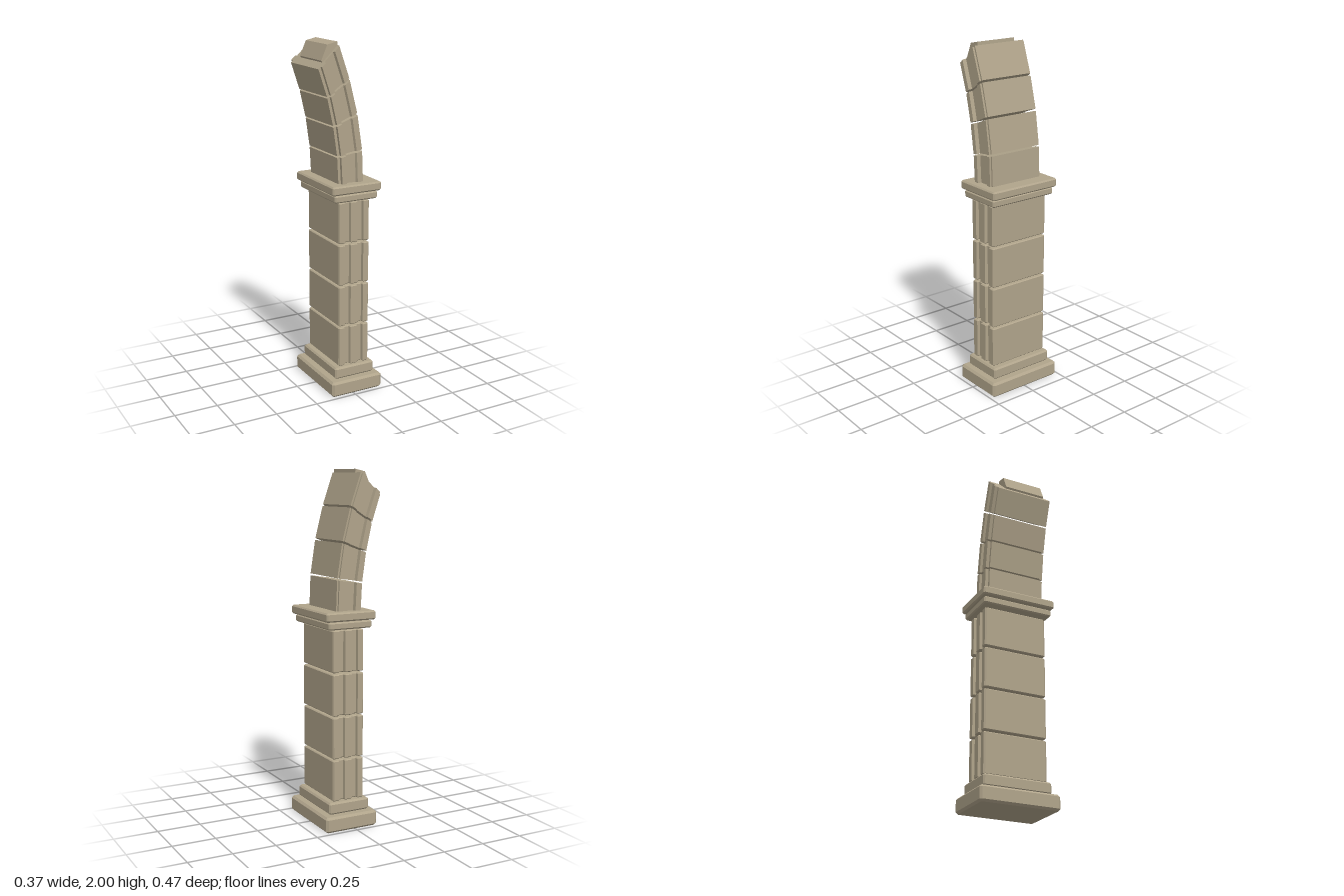
import * as THREE from 'three';

const CX = 0.022; // pillar axis

// Extrude a plan outline (x, z) upward from y0 to y1 with a chamfered rim
function upright(points, y0, y1, bevel) {
  const shape = new THREE.Shape(points.map(([x, z]) => new THREE.Vector2(x, z)));
  const geo = new THREE.ExtrudeGeometry(shape, {
    depth: y1 - y0 - 2 * bevel, bevelEnabled: true, bevelThickness: bevel,
    bevelSize: bevel, bevelOffset: -bevel, bevelSegments: 1,
  });
  return geo.rotateX(-Math.PI / 2).translate(CX, y0 + bevel, 0);
}

// Rectangle with cut corners
function cutRect(w, d, c) {
  return [[-w + c, -d], [w - c, -d], [w, -d + c], [w, d - c],
    [w - c, d], [-w + c, d], [-w, d - c], [-w, -d + c]];
}

// Mirror a front edge, listed from +x to -x, to close a symmetric section
function mirrored(front) {
  return [...front, ...front.map(([x, z]) => [x, -z]).reverse()];
}

export function createModel() {
  const group = new THREE.Group();
  const stone = new THREE.MeshStandardMaterial({ color: 0xb0a48b });
  stone.name = 'sandstone';
  const add = (name, geo) => {
    const mesh = new THREE.Mesh(geo, stone);
    mesh.name = name;
    group.add(mesh);
  };

  // Plinth and capital slabs: half width, half depth, bottom, top, bevel
  const slabs = [
    ['plinthLower', 0.161, 0.234, 0, 0.089, 0.012],
    ['plinthUpper', 0.125, 0.2, 0.093, 0.16, 0.009],
    ['capitalLower', 0.133, 0.21, 1.139, 1.18, 0.007],
    ['capitalUpper', 0.152, 0.222, 1.184, 1.234, 0.008],
  ];
  for (const [name, w, d, y0, y1, b] of slabs) {
    add(name, upright(cutRect(w, d, b), y0, y1, b));
  }

  // Fluted shaft blocks
  const f = 0.187, g = 0.17;
  const fluted = mirrored([
    [0.096, 0.178], [0.09, f], [0.058, f], [0.055, g], [0.025, g], [0.021, f],
    [-0.021, f], [-0.025, g], [-0.055, g], [-0.058, f], [-0.09, f], [-0.096, 0.178],
  ]);
  for (let i = 0; i < 4; i++) {
    const y0 = 0.164 + i * 0.2442;
    add('shaftBlock' + (i + 1), upright(fluted, y0, y0 + 0.234, 0.005));
  }

  // Arch stones: a moulded section (thickness t from inner to outer, depth z)
  // stretched between successive joints
  const section = mirrored([
    [1, 0.163], [0.94, 0.163], [0.94, 0.174], [0.75, 0.174], [0.71, 0.161],
    [0.31, 0.161], [0.28, 0.182], [0.1, 0.182], [0.1, 0.163], [0, 0.163],
  ]);
  const sectionShape = new THREE.Shape(section.map(([t, z]) => new THREE.Vector2(t, z)));
  const joints = [ // inner x, y, outer x, y
    [-0.066, 1.234, 0.088, 1.234],
    [-0.074, 1.385, 0.081, 1.409],
    [-0.098, 1.553, 0.05, 1.61],
    [-0.134, 1.711, 0.001, 1.8],
    [-0.185, 1.864, -0.062, 1.981],
  ];
  for (let i = 0; i < 4; i++) {
    const [a, b] = [joints[i], joints[i + 1]];
    const geo = new THREE.ExtrudeGeometry(sectionShape, { depth: 1, bevelEnabled: false });
    const p = geo.attributes.position;
    const lerp = THREE.MathUtils.lerp;
    for (let k = 0; k < p.count; k++) {
      const t = p.getX(k), z = -p.getY(k);
      const s = lerp(i > 0 ? 0.03 : 0, i < 3 ? 0.97 : 1, p.getZ(k)); // open joints
      p.setXYZ(k, lerp(lerp(a[0], a[2], t), lerp(b[0], b[2], t), s),
        lerp(lerp(a[1], a[3], t), lerp(b[1], b[3], t), s), z);
    }
    geo.computeVertexNormals();
    add('archStone' + (i + 1), geo);
  }

  // Broken stub on the arch end
  const stub = new THREE.Shape([
    [-0.062, 1.979], [-0.063, 2], [-0.123, 1.987], [-0.159, 1.905], [-0.15, 1.892],
  ].map(([x, y]) => new THREE.Vector2(x, y)));
  add('brokenStub', new THREE.ExtrudeGeometry(stub, { depth: 0.247, bevelEnabled: false })
    .translate(0, 0, -0.102));

  return group;
}
